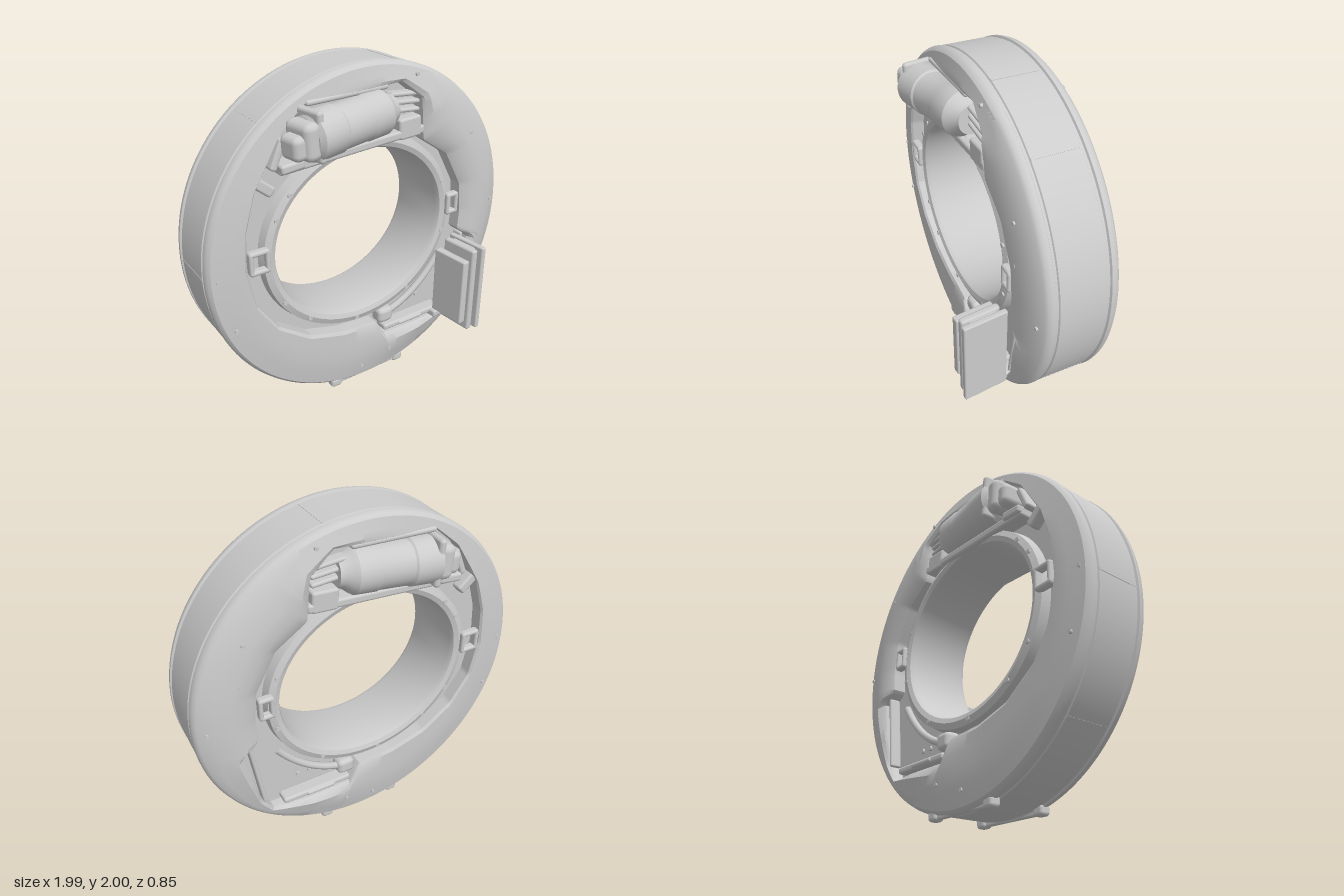
import * as THREE from 'three';
import { toCreasedNormals } from 'three/addons/utils/BufferGeometryUtils.js';
import { RoundedBoxGeometry } from 'three/addons/geometries/RoundedBoxGeometry.js';

const grey = new THREE.MeshStandardMaterial({ color: 0xcccccc });
const MID = -0.085;                 // plane halfway between the two faces
const HOLE = [-0.045, 1.03], DISC = [0, 1.003];

// Outline of the opening in each cover, around the hole
const OPENING = [
  [0.67, 1.0], [0.65, 1.18], [0.53, 1.4], [0.35, 1.52], [0.33, 1.76], [0.19, 1.87], [-0.4, 1.85],
  [-0.55, 1.72], [-0.71, 1.45], [-0.77, 1.25], [-0.785, 1.03], [-0.74, 0.8], [-0.62, 0.62],
  [-0.42, 0.48], [-0.2, 0.42], [0.04, 0.4], [0.1, 0.285], [0.6, 0.285], [0.67, 0.4], [0.75, 0.8], [0.66, 0.86],
];

function add(parent, name, geometry, pos = [0, 0, 0], rot = [0, 0, 0]) {
  const m = new THREE.Mesh(geometry, grey);
  m.name = name;
  m.position.set(...pos);
  m.rotation.set(...rot);
  parent.add(m);
  return m;
}
const block = (w, h, d, r = 0.015) => new RoundedBoxGeometry(w, h, d, 2, Math.min(r, w / 2.1, h / 2.1, d / 2.1));

// Distance from the hole centre to the opening outline along angle a
function openingRadius(a) {
  const c = Math.cos(a), s = Math.sin(a);
  let best = 0.65;
  OPENING.forEach((p, i) => {
    const q = OPENING[(i + 1) % OPENING.length];
    const px = p[0] - HOLE[0], py = p[1] - HOLE[1], ex = q[0] - p[0], ey = q[1] - p[1];
    const det = c * ey - s * ex;
    if (Math.abs(det) < 1e-9) return;
    const t = (px * ey - py * ex) / det, u = (px * s - py * c) / det;
    if (t > 0 && u >= -1e-6 && u <= 1 + 1e-6) best = t;
  });
  return best;
}

// Cross-section of the ring's front half at angle a, from the hole outwards
function halfSection(a) {
  const c = Math.cos(a), s = Math.sin(a);
  const ellipse = (grow, z) => [HOLE[0] + (0.555 + grow) * c, HOLE[1] + (0.5 + grow) * s, z];
  const circle = (r, z) => [DISC[0] + r * c, DISC[1] + r * s, z];
  const collarR = 1 / Math.hypot(c / 0.655, s / 0.585);
  const r = Math.max(openingRadius(a), collarR + 0.02);
  const open = [HOLE[0] + r * c, HOLE[1] + r * s];
  const edge = circle(0.975, 0.12);
  const raise = THREE.MathUtils.smoothstep(c, -0.3, 0.5);
  const cover = (t, drop = 0) => {
    const x = THREE.MathUtils.lerp(open[0], edge[0], t), y = THREE.MathUtils.lerp(open[1], edge[1], t);
    const k = Math.min(1, Math.max(0, (0.975 - Math.hypot(x, y - DISC[1])) / 0.14));
    return [x, y, 0.12 + k * (0.025 + 0.025 * raise) - drop];
  };
  return [
    ellipse(0, 0.09), ellipse(0.012, 0.118), ellipse(0.04, 0.128), ellipse(0.075, 0.115), ellipse(0.085, 0.06),
    [open[0], open[1], 0.06], cover(0, 0.012 + 0.02 * raise), cover(0.06, 0.02 * raise), cover(0.25), cover(0.5), cover(0.75), edge,
    circle(0.99, 0.105), circle(0.997, 0.085), circle(0.997, 0.07), circle(0.986, 0.064), circle(0.986, 0.05),
    circle(0.994, 0.045),
  ];
}

function ringBody() {
  const N = 256, pos = [], idx = [];
  let M = 0;
  for (let j = 0; j < N; j++) {
    const front = halfSection((j / N) * Math.PI * 2);
    const back = front.map(([x, y, z]) => [x, y, 2 * MID - z]).reverse();
    const loop = [...front, ...back];
    M = loop.length;
    loop.forEach((p) => pos.push(...p));
  }
  for (let j = 0; j < N; j++) for (let i = 0; i < M; i++) {
    const i2 = (i + 1) % M, j2 = (j + 1) % N;
    const a = j * M + i, b = j * M + i2, c = j2 * M + i, d = j2 * M + i2;
    idx.push(a, b, c, b, d, c);
  }
  const g = new THREE.BufferGeometry();
  g.setAttribute('position', new THREE.Float32BufferAttribute(pos, 3));
  g.setIndex(idx);
  return toCreasedNormals(g, 0.45);
}

// Motor lying along x, from its knob end (left) to its tapered end (right)
function motor(from, to) {
  const g = new THREE.Group();
  g.name = 'motor';
  const a = new THREE.Vector3(...from), b = new THREE.Vector3(...to);
  g.position.copy(a);
  g.quaternion.setFromUnitVectors(new THREE.Vector3(1, 0, 0), b.clone().sub(a).normalize());
  const profile = [[0, 0], [0.1, 0], [0.13, 0.02], [0.13, 0.17], [0.122, 0.18], [0.122, 0.36], [0.127, 0.37],
    [0.127, 0.49], [0.115, 0.51], [0.085, 0.55], [0.08, 0.575], [0, 0.575]].map((p) => new THREE.Vector2(...p));
  add(g, 'motorCasing', toCreasedNormals(new THREE.LatheGeometry(profile, 32), 0.5), [0, 0, 0], [0, 0, -Math.PI / 2]);
  add(g, 'motorEndBlock', block(0.1, 0.2, 0.19, 0.04), [-0.02, 0, 0]);
  add(g, 'motorKnob', block(0.1, 0.13, 0.14, 0.035), [-0.075, -0.02, 0]);
  add(g, 'motorFlange', block(0.04, 0.27, 0.2, 0.02), [0.03, 0.01, -0.01]);
  return g;
}

// Fittings found on both faces
function faceFittings(name) {
  const g = new THREE.Group();
  g.name = name;
  // Motor cradle
  add(g, 'cradleBeam', block(0.92, 0.05, 0.1), [-0.11, 1.56, 0.1], [0, 0, 0.06]);
  add(g, 'cradleEnd', block(0.15, 0.12, 0.08), [0.25, 1.61, 0.11], [0, 0, 0.06]);
  add(g, 'cradleTop', block(0.5, 0.03, 0.08), [-0.15, 1.855, 0.1], [0, 0, 0.03]);
  for (let i = 0; i < 3; i++)
    add(g, 'cradleRail', block(0.2, 0.025, 0.07), [0.22, 1.71 + i * 0.045, 0.1], [0, 0, -0.08]);
  add(g, 'cradleFoot', block(0.14, 0.05, 0.12), [-0.5, 1.55, 0.11], [0, 0, 0.1]);
  add(g, 'cradleBrace', block(0.04, 0.17, 0.09), [-0.57, 1.62, 0.1], [0, 0, -0.4]);
  add(g, 'cornerTab', block(0.12, 0.06, 0.07), [-0.65, 1.46, 0.1], [0, 0, -0.7]);
  // Clamps over the collar groove
  for (const x of [-0.71, 0.6]) {
    const w = x < 0 ? 0.12 : 0.09;
    for (const s of [-1, 1]) {
      add(g, 'clampBar', block(w, 0.03, 0.05), [x, 1.06 + s * 0.055, 0.125]);
      add(g, 'clampSide', block(0.025, 0.13, 0.05), [x + s * (w / 2 - 0.012), 1.06, 0.125]);
    }
  }
  // Parts in the lower recess
  add(g, 'recessBoss', block(0.11, 0.1, 0.1, 0.03), [0.12, 0.41, 0.09]);
  add(g, 'recessLedge', block(0.44, 0.04, 0.09), [0.32, 0.325, 0.1]);
  add(g, 'recessPad', block(0.19, 0.03, 0.05), [0.3, 0.325, 0.13]);
  const arc = new THREE.QuadraticBezierCurve3(
    new THREE.Vector3(0.14, 0.41, 0.1), new THREE.Vector3(0.38, 0.47, 0.1), new THREE.Vector3(0.55, 0.72, 0.1));
  add(g, 'curvedRib', new THREE.TubeGeometry(arc, 20, 0.022, 8), [0, 0, 0]);
  add(g, 'sideRib', block(0.025, 0.45, 0.07), [0.68, 0.6, 0.1], [0, 0, -0.14]);
  // Screws
  const screw = (x, y, z, r = 0.013) =>
    add(g, 'screw', new THREE.CylinderGeometry(r, r, 0.025, 12), [x, y, z], [Math.PI / 2, 0, 0]);
  for (const deg of [20, 140, 155, 210, 232, 265, 302, 345]) {
    const a = THREE.MathUtils.degToRad(deg);
    screw(HOLE[0] + 0.605 * Math.cos(a), HOLE[1] + 0.55 * Math.sin(a), 0.118, 0.014);
  }
  for (const [x, y] of [[0.335, 0.43], [0.41, 0.43]]) screw(x, y, 0.06, 0.015);
  for (const [x, y, z] of [[-0.94, 1.01, 0.119], [-0.87, 0.69, 0.129], [0.93, 1.01, 0.133], [0.7, 1.5, 0.153],
    [0.74, 1.27, 0.16], [0.29, 1.9, 0.13], [0.13, 0.17, 0.15], [-0.07, 0.11, 0.133]]) screw(x, y, z, 0.011);
  return g;
}

// Upright bracket standing out from the front face
function bracket() {
  const g = new THREE.Group();
  g.name = 'bracket';
  g.position.set(0.55, 0.56, 0.15);
  g.rotation.y = 0.1;
  add(g, 'outerPlate', block(0.035, 0.58, 0.27, 0.01), [0.07, 0, 0.13]);
  add(g, 'innerPlate', block(0.05, 0.44, 0.24, 0.01), [-0.06, 0.01, 0.125]);
  add(g, 'middlePlate', block(0.045, 0.57, 0.24, 0.015), [0.01, 0, 0.13]);
  for (const y of [-0.26, -0.09, 0.08, 0.25])
    add(g, 'spacer', block(0.09, 0.045, 0.18), [0.035, y, 0.12]);
  add(g, 'bracketFoot', block(0.17, 0.05, 0.1), [0, -0.25, -0.02]);
  return g;
}

export function createModel() {
  const model = new THREE.Group();
  model.name = 'ringHousing';
  add(model, 'ringBody', ringBody());

  model.add(faceFittings('frontFittings'));
  const back = faceFittings('backFittings');
  back.scale.z = -1;
  back.position.z = 2 * MID;
  model.add(back);

  model.add(motor([-0.44, 1.7, 0.2], [0.13, 1.735, 0.11]));
  model.add(motor([-0.4, 1.69, -0.31], [0.13, 1.725, -0.265]));
  model.add(bracket());

  // Seams across the outer band
  for (const deg of [-42, -31, 51, 129, 180, 222, 78]) {
    const a = THREE.MathUtils.degToRad(deg);
    add(model, 'bandSeam', new THREE.BoxGeometry(0.006, 0.012, 0.26),
      [DISC[0] + 0.993 * Math.cos(a), DISC[1] + 0.993 * Math.sin(a), MID], [0, 0, a]);
  }

  // Standing rails with a foot at each end
  for (const z of [0.085, -0.245]) {
    add(model, 'standRail', block(0.5, 0.035, 0.035, 0.01), [0, 0.025, z]);
    for (const x of [-0.235, 0.235]) add(model, 'foot', block(0.075, 0.06, 0.065, 0.02), [x, 0.03, z]);
  }
  return model;
}
